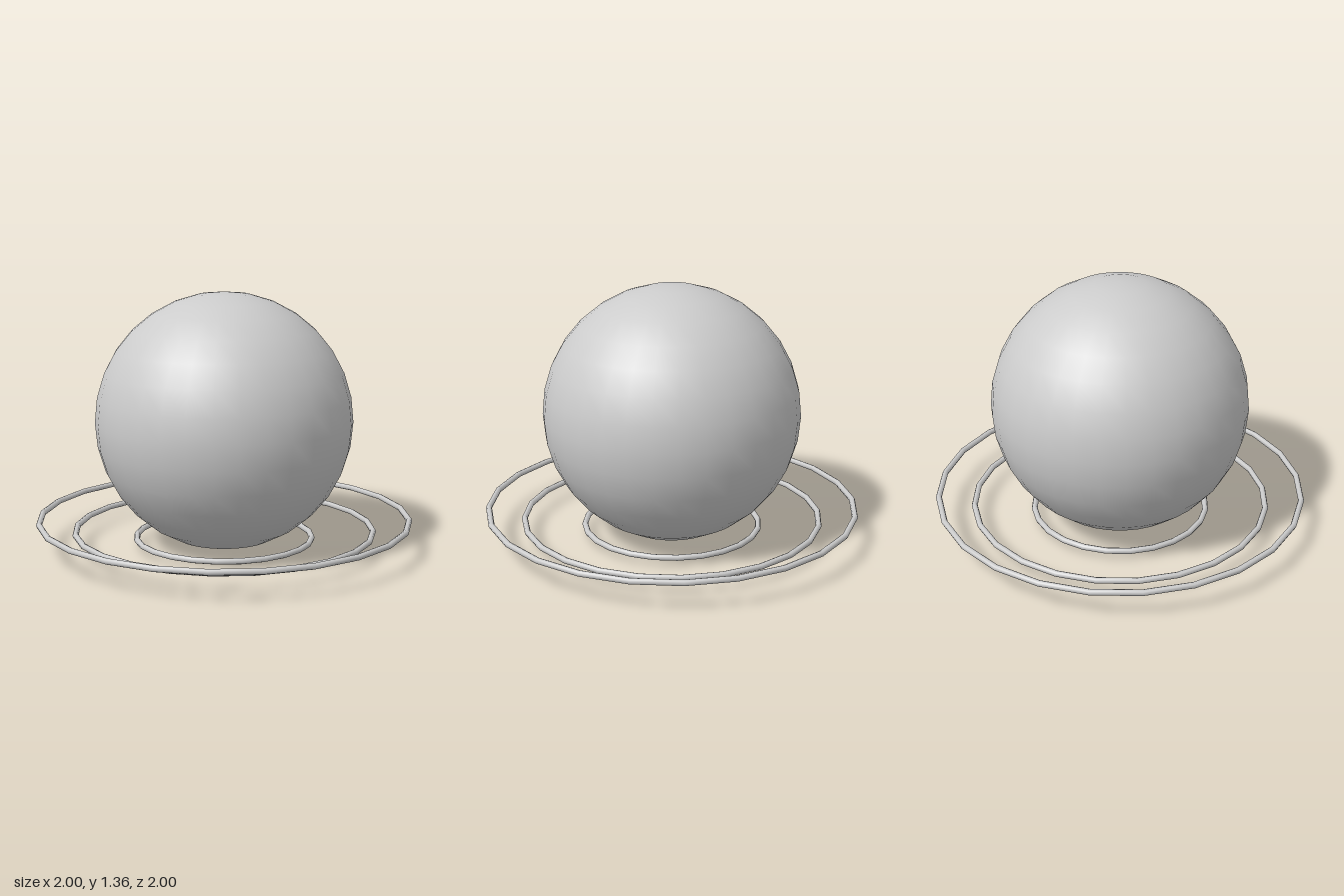
import * as THREE from 'three';

export function createModel() {
  const model = new THREE.Group();
  const material = new THREE.MeshStandardMaterial({ color: 0xcccccc });

  // Ball
  const ball = new THREE.Mesh(new THREE.SphereGeometry(0.68, 32, 16), material);
  ball.name = 'ball';
  ball.position.y = 0.682;
  model.add(ball);

  // Flat rings around the foot of the ball: name, radius, height
  const rings = [
    ['innerRing', 0.47, 0.05],
    ['middleRing', 0.795, 0.092],
    ['outerRing', 0.984, 0.157],
  ];
  for (const [name, radius, y] of rings) {
    const ring = new THREE.Mesh(new THREE.TorusGeometry(radius, 0.016, 8, 24), material);
    ring.name = name;
    ring.rotation.x = Math.PI / 2;
    ring.position.y = y;
    model.add(ring);
  }

  return model;
}
